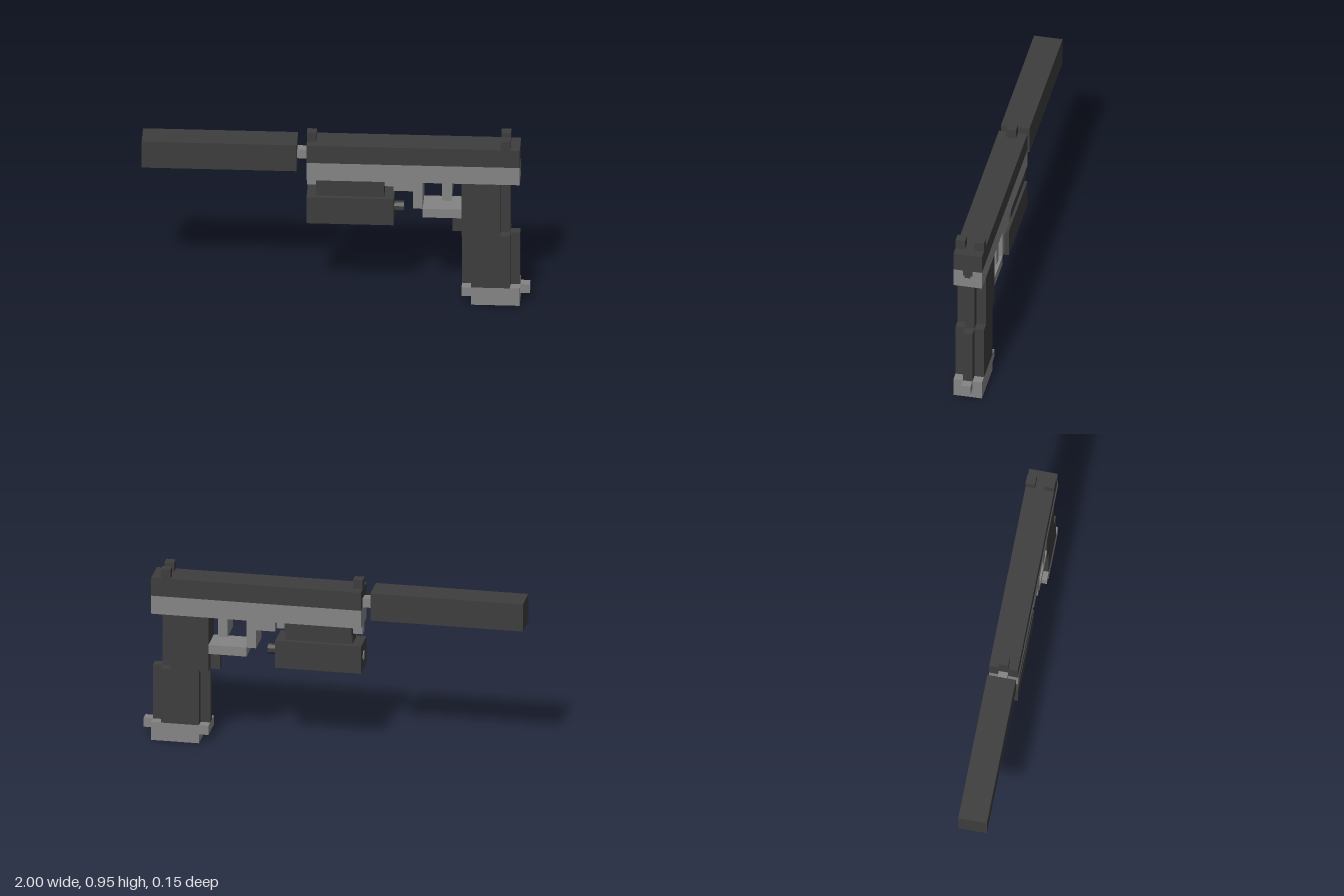
import * as THREE from 'three';

export function createModel() {
  const model = new THREE.Group();
  const dark = new THREE.MeshStandardMaterial({ color: 0x3d3d3d });
  dark.name = 'charcoal';
  const grey = new THREE.MeshStandardMaterial({ color: 0x848484 });
  grey.name = 'midGrey';

  const FULL = 0.075, SLIM = 0.025;

  // Block given by its x and y ranges and its z range
  function block(name, mat, x0, x1, y0, y1, z1 = FULL, z0 = -z1) {
    const mesh = new THREE.Mesh(new THREE.BoxGeometry(x1 - x0, y1 - y0, z1 - z0), mat);
    mesh.position.set((x0 + x1) / 2, (y0 + y1) / 2, (z0 + z1) / 2);
    mesh.name = name;
    model.add(mesh);
  }

  // Eight-sided rod along x
  function rod(name, mat, x0, x1, y, r) {
    const geo = new THREE.CylinderGeometry(r, r, x1 - x0, 8).toNonIndexed();
    geo.rotateY(Math.PI / 8).rotateZ(Math.PI / 2).computeVertexNormals();
    const mesh = new THREE.Mesh(geo, mat);
    mesh.position.set((x0 + x1) / 2, y, 0);
    mesh.name = name;
    model.add(mesh);
  }

  // Upper body
  block('frontTube', dark, -1, -0.2, 0.75, 0.9);
  block('barrel', grey, -0.2, -0.15, 0.8, 0.85, SLIM);
  block('slide', dark, -0.15, 0.95, 0.8, 0.9);
  block('frame', grey, -0.15, 0.95, 0.7, 0.8);
  block('frontSight', dark, -0.15, -0.1, 0.9, 0.95, SLIM);
  block('rearSightLeft', dark, 0.85, 0.9, 0.9, 0.95, FULL, SLIM);
  block('rearSightRight', dark, 0.85, 0.9, 0.9, 0.95, -SLIM, -FULL);

  // Tapered plate on the rear face
  block('rearPlate', dark, 0.95, 0.953, 0.77, 0.8, SLIM);
  block('rearPlateTip', dark, 0.95, 0.953, 0.757, 0.77, 0.016);

  // Rail, guard and trigger
  block('rail', grey, -0.15, 0.3, 0.65, 0.7, SLIM);
  block('frameStep', grey, 0.3, 0.4, 0.65, 0.7);
  block('guardPost', grey, 0.4, 0.45, 0.55, 0.7);
  block('guardBar', grey, 0.45, 0.65, 0.5, 0.55);
  block('trigger', grey, 0.55, 0.6, 0.6, 0.7);

  // Lamp under the rail
  for (const s of [1, -1]) {
    const a = s * SLIM, b = s * FULL;
    block('lampClamp', dark, -0.1, 0.25, 0.65, 0.7, Math.max(a, b), Math.min(a, b));
  }
  block('lampNeck', dark, -0.1, 0.25, 0.6, 0.65, 0.05);
  block('lampBody', dark, -0.15, 0.3, 0.45, 0.6);
  rod('lampLens', grey, -0.153, -0.14, 0.525, 0.027);
  rod('lampButton', dark, 0.3, 0.35, 0.525, 0.027);

  // Grip with narrow straps front and back
  block('gripUpper', dark, 0.65, 0.85, 0.4, 0.7);
  block('gripUpperStrap', dark, 0.85, 0.9, 0.4, 0.7, SLIM);
  block('gripNub', dark, 0.6, 0.65, 0.4, 0.5, SLIM);
  block('gripLower', dark, 0.7, 0.9, 0.1, 0.4);
  block('gripFrontStrap', dark, 0.65, 0.7, 0.1, 0.4, SLIM);
  block('gripBackStrap', dark, 0.9, 0.95, 0.1, 0.4, SLIM);

  // Base
  block('baseUpper', grey, 0.65, 0.95, 0.05, 0.1);
  block('baseLower', grey, 0.7, 0.95, 0, 0.05);
  block('baseTab', grey, 0.95, 1, 0.05, 0.1, SLIM);

  return model;
}
